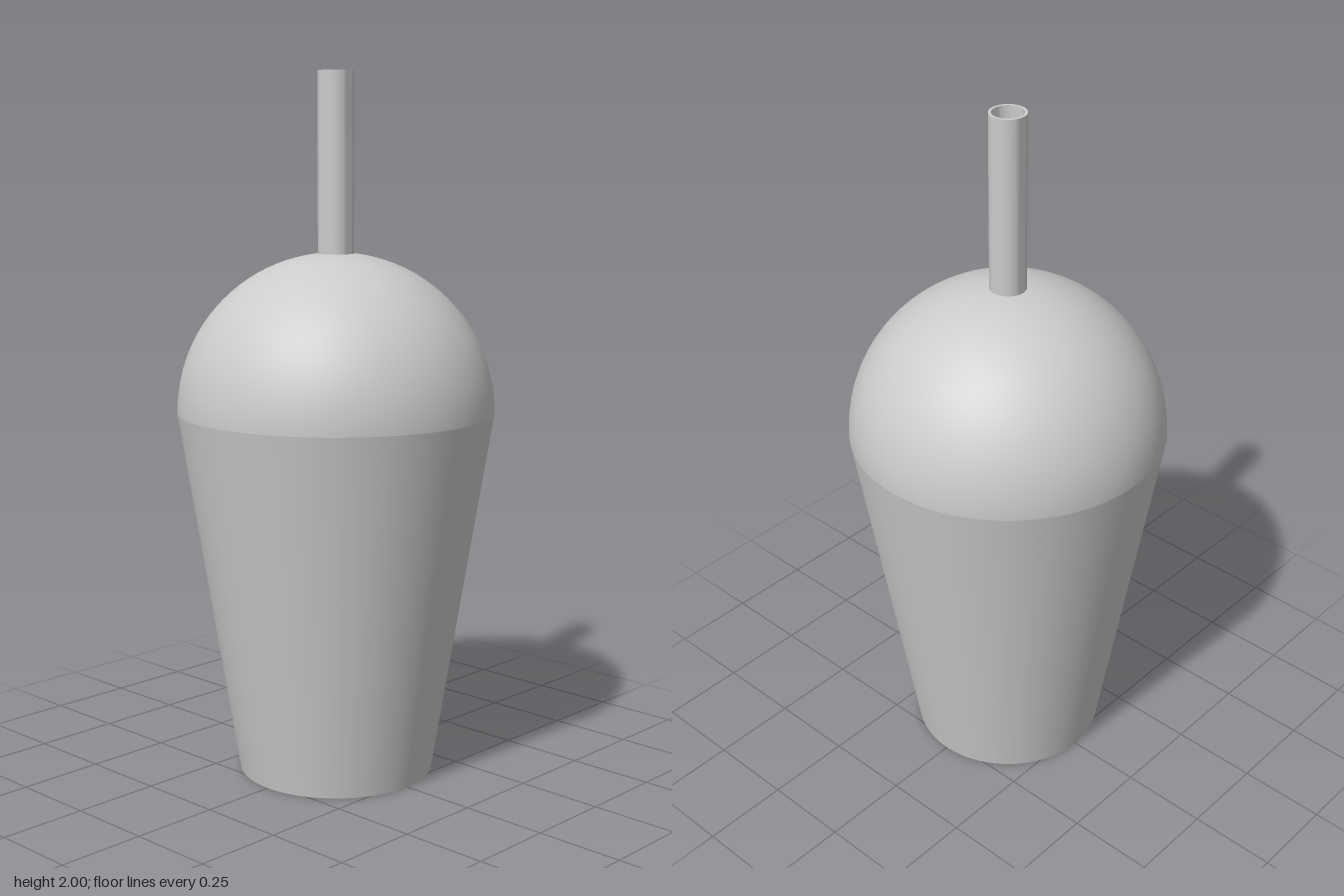
import * as THREE from 'three';
import { toCreasedNormals } from 'three/addons/utils/BufferGeometryUtils.js';

const SEGMENTS = 64;

// Revolves [radius, height] pairs, keeping rims sharp and walls smooth.
function lathe(profile, segments = SEGMENTS) {
  const points = profile.map(([r, y]) => new THREE.Vector2(r, y));
  return toCreasedNormals(new THREE.LatheGeometry(points, segments), 0.6);
}

export function createModel() {
  const group = new THREE.Group();
  group.name = 'drinkCup';
  const grey = new THREE.MeshStandardMaterial({ color: 0xcccccc, side: THREE.DoubleSide });
  const amber = new THREE.MeshStandardMaterial({ color: 0xc68a10 });

  const add = (name, geometry, material) => {
    const mesh = new THREE.Mesh(geometry, material);
    mesh.name = name;
    group.add(mesh);
    return mesh;
  };

  // Tapered cup wall
  add('cup', lathe([[0.265, 0], [0.28, 0], [0.45, 1.05], [0.435, 1.05], [0.265, 0]]), grey);

  // Drink filling the cup, visible through its base
  add('drink', lathe([[0, 0], [0.265, 0], [0.41, 0.9], [0, 0.9]]), amber);

  // Domed lid
  const dome = new THREE.SphereGeometry(0.45, SEGMENTS, 24, 0, Math.PI * 2, 0, Math.PI / 2);
  add('domeLid', dome, grey).position.y = 1.05;

  // Hollow straw standing through the lid
  add('straw', lathe([[0.043, 0.95], [0.051, 0.95], [0.051, 2], [0.043, 2], [0.043, 0.95]], 32), grey);

  return group;
}
